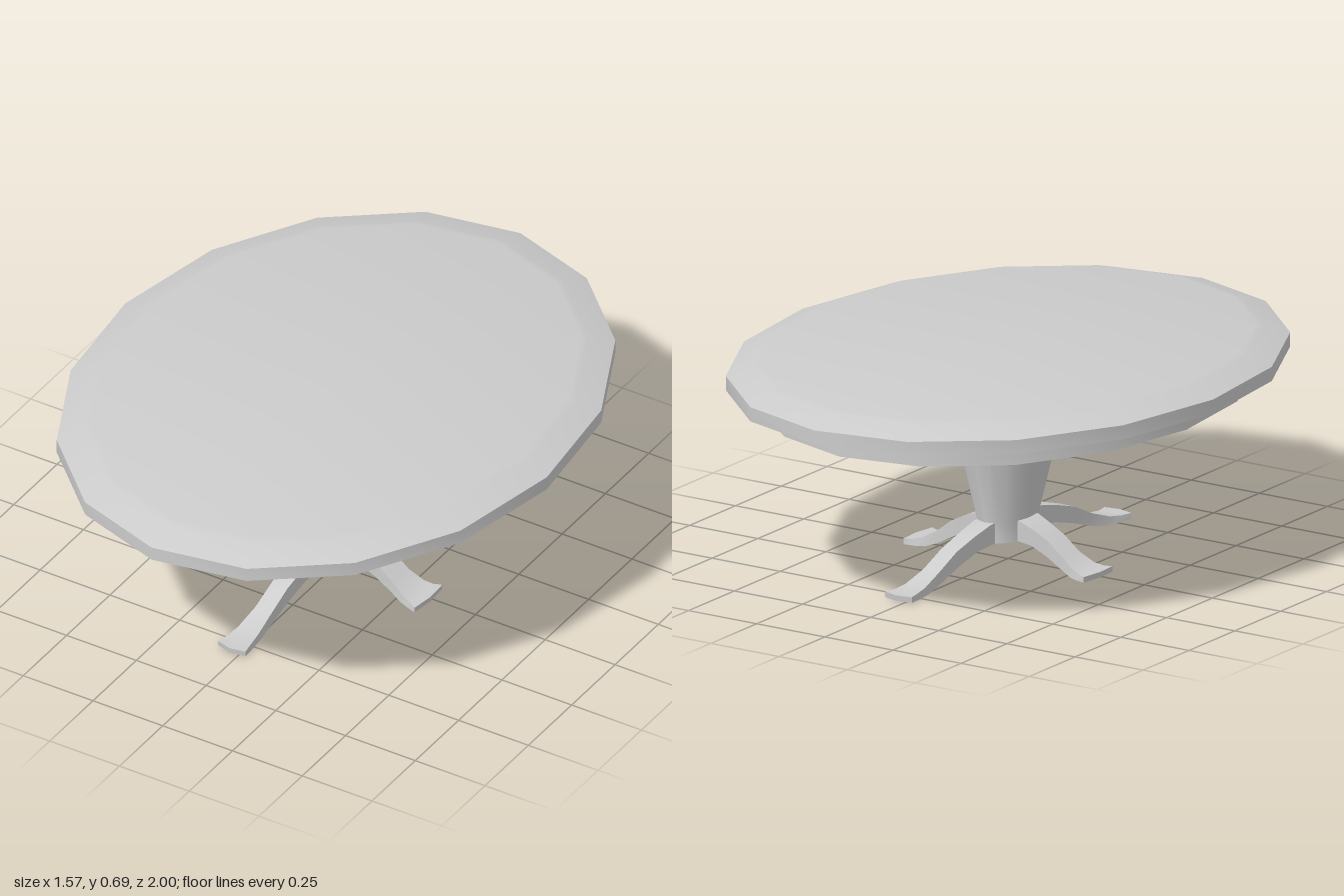
import * as THREE from 'three';
import { toCreasedNormals } from 'three/addons/utils/BufferGeometryUtils.js';

const TWIST = -0.05; // slight turn shared by all parts
const SIDES = 16;
const material = new THREE.MeshStandardMaterial({ color: 0xcccccc });

// Elliptical turned shape: radii run along z, xScale(y) narrows them along x
function turned(name, profile, xScale) {
  const points = profile.map(([r, y]) => new THREE.Vector2(r, y));
  const geometry = new THREE.LatheGeometry(points, SIDES, TWIST);
  const pos = geometry.attributes.position;
  for (let i = 0; i < pos.count; i++) pos.setX(i, pos.getX(i) * xScale(pos.getY(i)));
  const mesh = new THREE.Mesh(toCreasedNormals(geometry, 0.55), material);
  mesh.name = name;
  return mesh;
}

// Leg stations: distance out, top height, bottom distance, bottom height, half width
const stations = [
  [0.08, 0.147, 0.08, 0.08, 0.035],
  [0.13, 0.145, 0.13, 0.08, 0.034],
  [0.21, 0.125, 0.20, 0.073, 0.031],
  [0.30, 0.098, 0.29, 0.048, 0.029],
  [0.39, 0.055, 0.38, 0.018, 0.030],
  [0.47, 0.027, 0.45, 0.002, 0.037],
  [0.52, 0.020, 0.50, 0.000, 0.043],
  [0.558, 0.020, 0.556, 0.002, 0.051],
];

// Box swept along the stations, with a bowed toe
function legGeometry() {
  const n = stations.length - 1;
  const geometry = new THREE.BoxGeometry(2, 1, 1, 2, 1, n);
  const pos = geometry.attributes.position;
  for (let i = 0; i < pos.count; i++) {
    const k = Math.round((pos.getZ(i) + 0.5) * n);
    const [zTop, yTop, zBottom, yBottom, half] = stations[k];
    const top = pos.getY(i) > 0;
    const across = pos.getX(i);
    const bow = k === n && Math.abs(across) < 0.5 ? 0.012 : 0;
    pos.setXYZ(i, across * half, top ? yTop : yBottom, (top ? zTop : zBottom) + bow);
  }
  return geometry;
}

export function createModel() {
  const table = new THREE.Group();
  table.name = 'ovalPedestalTable';

  // Bevelled top
  table.add(turned('tableTop', [
    [0.8, 0.605], [1.001, 0.605], [1.001, 0.65], [0.905, 0.68], [0.88, 0.685], [0, 0.685],
  ], () => 0.787));

  // Apron with a recessed underside
  table.add(turned('apron', [
    [0, 0.585], [0.79, 0.585], [0.79, 0.535], [0.87, 0.535], [0.87, 0.606],
  ], () => 0.787));

  // Tapered column, flatter at its foot
  table.add(turned('column', [
    [0, 0.08], [0.123, 0.08], [0.123, 0.14], [0.22, 0.535], [0.23, 0.586],
  ], (y) => THREE.MathUtils.mapLinear(Math.max(y, 0.14), 0.14, 0.535, 0.64, 0.775)));

  // Four splayed legs: long ones to front and back, short wide ones to the sides
  for (let i = 0; i < 4; i++) {
    const geometry = legGeometry();
    if (i % 2) geometry.scale(1.45, 1, 0.614);
    const leg = new THREE.Mesh(toCreasedNormals(geometry, 0.6), material);
    leg.name = ['frontLeg', 'leftLeg', 'backLeg', 'rightLeg'][i];
    leg.rotation.y = i * Math.PI / 2 + TWIST;
    table.add(leg);
  }
  return table;
}
